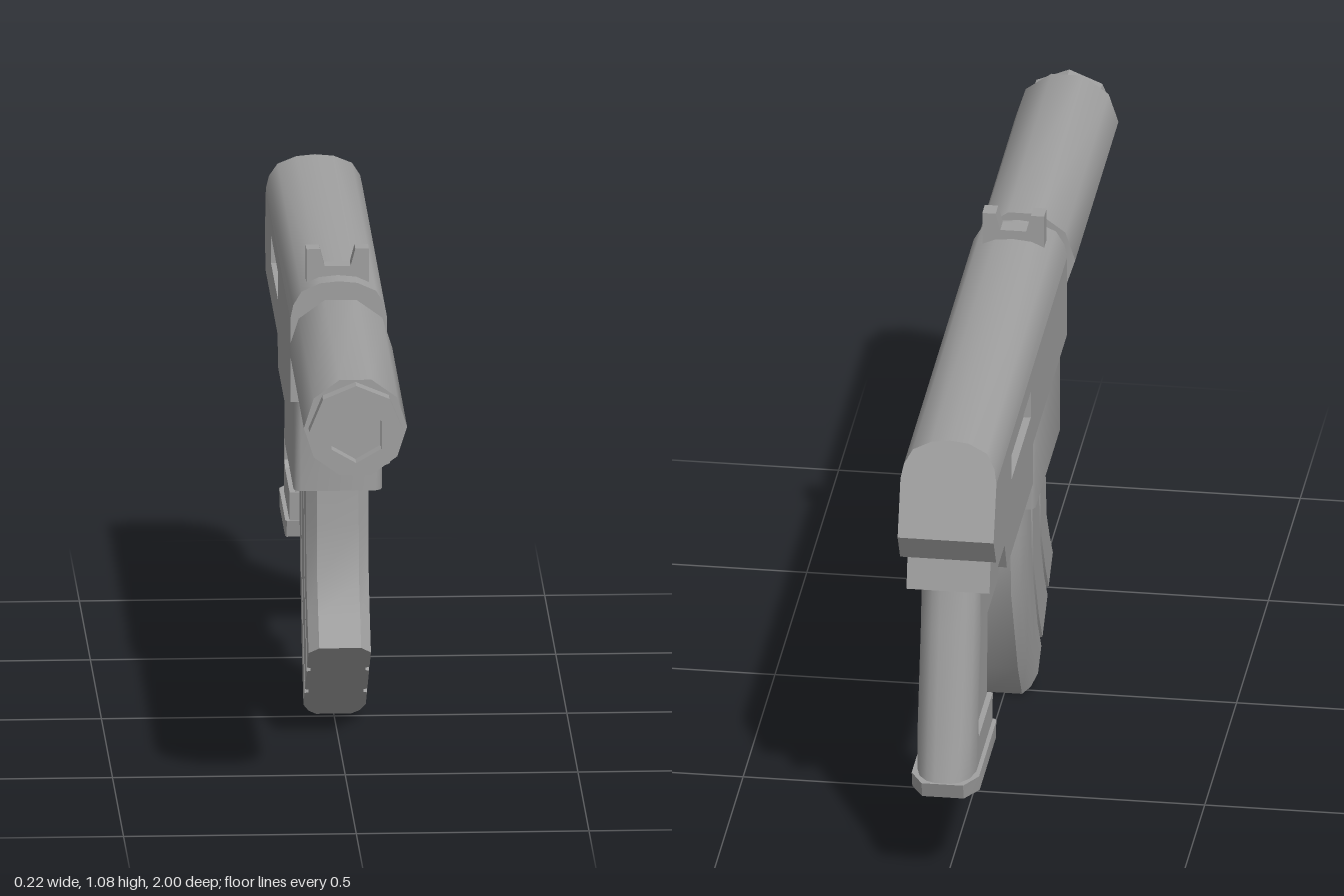
import * as THREE from 'three';
import { toCreasedNormals } from 'three/addons/utils/BufferGeometryUtils.js';

const metal = new THREE.MeshStandardMaterial({ color: 0xa0a0a0 });
metal.name = 'grey metal';

export function createModel() {
  const root = new THREE.Group();
  root.name = 'toyBlaster';

  const add = (name, geo, crease = 0.7) => {
    const mesh = new THREE.Mesh(toCreasedNormals(geo, crease), metal);
    mesh.name = name;
    root.add(mesh);
    return mesh;
  };
  const shapeOf = (pts) => new THREE.Shape(pts.map(([a, b]) => new THREE.Vector2(a, b)));

  // Side profile of [z, y] points, extruded across x from x0 to x1
  const side = (pts, x0, x1, hole) => {
    const s = shapeOf(pts);
    if (hole) s.holes.push(new THREE.Path(hole.map(([a, b]) => new THREE.Vector2(a, b))));
    const g = new THREE.ExtrudeGeometry(s, { depth: x1 - x0, bevelEnabled: false });
    return g.rotateY(-Math.PI / 2).translate(x1, 0, 0);
  };

  // Mirrored loft, top to bottom: levels are [frontZ, frontY, backZ, backY],
  // half is the outline as [fraction from front to back, half width]
  const loft = (levels, half) => {
    const rings = levels.map(([fz, fy, bz, by]) => {
      const right = half.map(([t, x]) => [x, fy + (by - fy) * t, fz + (bz - fz) * t]);
      return [...right, ...right.map(([x, y, z]) => [-x, y, z]).reverse()];
    });
    const n = half.length * 2;
    const pos = [];
    const tri = (a, b, c) => pos.push(...a, ...b, ...c);
    for (let k = 0; k < rings.length - 1; k++) {
      for (let i = 0; i < n; i++) {
        const j = (i + 1) % n;
        const [a, b, c, d] = [rings[k][i], rings[k][j], rings[k + 1][i], rings[k + 1][j]];
        tri(a, c, b);
        tri(b, c, d);
      }
    }
    const T = rings[0], B = rings[rings.length - 1];
    for (let i = 0; i < half.length - 1; i++) {
      const p = n - 1 - i, q = n - 2 - i;
      tri(T[i], T[i + 1], T[p]); tri(T[i + 1], T[q], T[p]);
      tri(B[i], B[p], B[i + 1]); tri(B[i + 1], B[p], B[q]);
    }
    const g = new THREE.BufferGeometry();
    g.setAttribute('position', new THREE.Float32BufferAttribute(pos, 3));
    return g;
  };

  // Receiver: core, side plates with a recessed slot, rounded top
  const rearZ = (y) => -0.945 + (y - 0.82) * 0.375;
  const lowerProfile = [[0.21, 0.755], [0.21, 0.94], [rearZ(0.94), 0.94], [-0.945, 0.82], [-0.905, 0.755]];
  const slot = [[-0.36, 0.835], [-0.665, 0.835], [-0.665, 0.897], [-0.36, 0.897]];
  add('receiverCore', side(lowerProfile, -0.088, 0.088));
  add('receiverSideLeft', side(lowerProfile, 0.088, 0.104, slot));
  add('receiverSideRight', side(lowerProfile, -0.104, -0.088, slot));

  const dome = new THREE.ExtrudeGeometry(shapeOf([
    [0.104, 0.94], [0.098, 0.97], [0.08, 1.0], [0.04, 1.018], [0, 1.022],
    [-0.04, 1.018], [-0.08, 1.0], [-0.098, 0.97], [-0.104, 0.94],
  ]), { depth: 1, bevelEnabled: false });
  const p = dome.attributes.position;
  for (let i = 0; i < p.count; i++) p.setZ(i, p.getZ(i) > 0.5 ? 0.21 : rearZ(p.getY(i)));
  add('receiverTop', dome);

  // Lower frame and magazine well
  add('lowerFrame', side([
    [-0.22, 0.756], [-0.22, 0.61], [-0.635, 0.61], [-0.67, 0.68], [-0.907, 0.68], [-0.89, 0.756],
  ], -0.09, 0.09));
  add('magazineWell', loft(
    [[0.187, 0.756, -0.23, 0.756], [0.182, 0.55, -0.23, 0.55]],
    [[0, 0.08], [0.015, 0.09], [0.05, 0.095], [0.97, 0.095], [1, 0.088]],
  ));

  // Curved magazine with two grooves down each side
  add('magazine', loft([
    [0.16, 0.56, -0.21, 0.56],
    [0.165, 0.47, -0.203, 0.44],
    [0.182, 0.35, -0.19, 0.32],
    [0.228, 0.285, -0.085, 0.095],
    [0.275, 0.225, -0.02, 0.003],
  ], [
    [0, 0.045], [0.07, 0.067], [0.29, 0.067], [0.30, 0.059], [0.34, 0.059], [0.35, 0.067],
    [0.62, 0.067], [0.63, 0.059], [0.67, 0.059], [0.68, 0.067], [0.86, 0.067], [0.95, 0.055], [1, 0.038],
  ]));

  // Grip: recessed core, rounded backstrap, collars and base plate
  add('gripCore', side([[-0.655, 0.62], [-0.675, 0.3], [-0.95, 0.3], [-0.88, 0.62]], -0.052, 0.052));
  add('gripBackstrap', loft(
    [[-0.835, 0.685, -0.895, 0.685], [-0.84, 0.59, -0.915, 0.59], [-0.895, 0.35, -0.972, 0.35], [-0.89, 0.26, -0.993, 0.26]],
    [[0, 0.064], [0.35, 0.064], [0.7, 0.054], [0.92, 0.036], [1, 0.018]],
  ));
  add('gripTopCollar', side([
    [-0.675, 0.685], [-0.645, 0.605], [-0.655, 0.59], [-0.83, 0.59], [-0.86, 0.57], [-0.86, 0.685],
  ], -0.064, 0.064));
  add('gripLowerCollar', side([
    [-0.667, 0.325], [-0.672, 0.255], [-0.92, 0.255], [-0.905, 0.35], [-0.88, 0.325],
  ], -0.064, 0.064));
  add('gripBasePlate', loft(
    [[-0.667, 0.262, -0.998, 0.262], [-0.675, 0.225, -0.985, 0.225]],
    [[0, 0.07], [0.03, 0.073], [0.85, 0.073], [1, 0.045]],
  ));

  // Trigger and guard
  add('triggerGuard', side([
    [-0.265, 0.615], [-0.35, 0.485], [-0.395, 0.455], [-0.68, 0.455],
    [-0.68, 0.49], [-0.42, 0.49], [-0.385, 0.505], [-0.305, 0.615],
  ], -0.036, 0.036), 0.3);
  add('trigger', side([[-0.51, 0.615], [-0.525, 0.56], [-0.536, 0.515], [-0.545, 0.56], [-0.558, 0.615]], -0.014, 0.014));

  // Barrel and muzzle tube
  const tube = (name, r, z0, z1, sides, turn) => add(name,
    new THREE.CylinderGeometry(r, r, z1 - z0, sides).rotateY(turn).rotateX(Math.PI / 2)
      .translate(0, 0.895, (z0 + z1) / 2));
  tube('barrel', 0.08, 0.19, 0.31, 12, 0);
  tube('muzzleTube', 0.111, 0.287, 0.965, 10, Math.PI / 2);

  // Octagonal end ring with a hexagonal bore
  const polygon = (sides, r, cy) => Array.from({ length: sides }, (_, i) => {
    const a = Math.PI / 2 + (i / sides) * Math.PI * 2;
    return new THREE.Vector2(Math.cos(a) * r, cy + Math.sin(a) * r);
  });
  const ring = new THREE.Shape(polygon(8, 0.101, 0.895));
  ring.holes.push(new THREE.Path(polygon(6, 0.062, 0.887)));
  add('muzzleRing', new THREE.ExtrudeGeometry(ring, { depth: 0.037, bevelEnabled: false }).translate(0, 0, 0.963));

  // Notched front sight
  add('frontSight', new THREE.ExtrudeGeometry(shapeOf([
    [-0.067, 0.99], [0.067, 0.99], [0.067, 1.08], [0.038, 1.08], [0.028, 1.042],
    [-0.028, 1.042], [-0.038, 1.08], [-0.067, 1.08],
  ]), { depth: 0.04, bevelEnabled: false }).translate(0, 0, 0.117), 0.2);

  return root;
}
